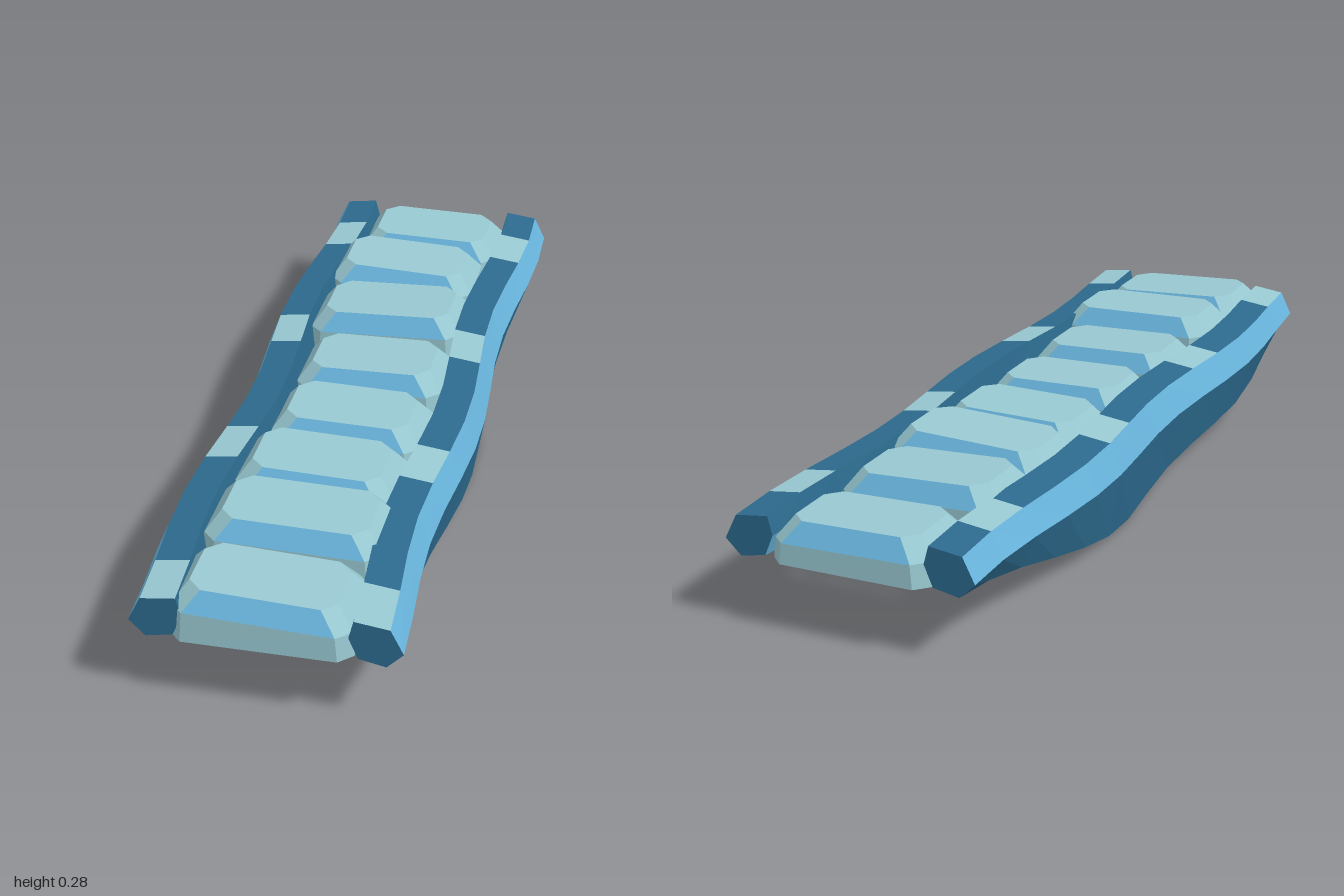
import * as THREE from 'three';

const flat = (name, color) => {
  const m = new THREE.MeshStandardMaterial({ color });
  m.name = name;
  m.flatShading = true;
  return m;
};

// Lofts closed rings into a faceted solid; colourOf(ring, side) picks a material index.
function loft(rings, colourOf, startColour, endColour, flip) {
  const buckets = [[], [], []];
  const tri = (c, a, b, d) => {
    for (const p of flip ? [a, d, b] : [a, b, d]) buckets[c].push(...p);
  };
  const n = rings[0].length;
  for (let i = 0; i < rings.length - 1; i++) {
    for (let k = 0; k < n; k++) {
      const j = (k + 1) % n, c = colourOf(i, k);
      tri(c, rings[i][k], rings[i][j], rings[i + 1][j]);
      tri(c, rings[i][k], rings[i + 1][j], rings[i + 1][k]);
    }
  }
  const first = rings[0], last = rings[rings.length - 1];
  for (let k = 1; k < n - 1; k++) {
    tri(startColour, first[0], first[k + 1], first[k]);
    tri(endColour, last[0], last[k], last[k + 1]);
  }
  const geo = new THREE.BufferGeometry();
  geo.setAttribute('position', new THREE.Float32BufferAttribute(buckets.flat(), 3));
  let start = 0;
  buckets.forEach((b, c) => {
    if (b.length) geo.addGroup(start, b.length / 3, c);
    start += b.length / 3;
  });
  geo.computeVertexNormals();
  return geo;
}

const DARK = 0, MID = 1, PALE = 2;

// Keel height along the rail, as [z, y]
const KEEL = [[-1, 0.157], [-0.85, 0.135], [-0.7, 0.107], [-0.5, 0.062], [-0.3, 0.02], [-0.13, 0.003],
  [0, 0.013], [0.2, 0.037], [0.4, 0.054], [0.6, 0.068], [0.8, 0.1], [1, 0.157]];
function keelY(z) {
  let i = 0;
  while (i < KEEL.length - 2 && KEEL[i + 1][0] < z) i++;
  const [a, b] = [KEEL[i], KEEL[i + 1]];
  return a[1] + (b[1] - a[1]) * (z - a[0]) / (b[0] - a[0]);
}

// Six-sided rail that sways sideways and deepens towards the middle
function railGeometry(side) {
  const rings = [], segments = 14;
  for (let i = 0; i <= segments; i++) {
    const z = -0.987 + 1.974 * i / segments;
    const d = 0.157 - keelY(z);
    const sway = 0.014 * Math.cos(2 * Math.PI * (z - 0.09) / 0.95);
    const section = [
      [0.187, 0.256], [0.263, 0.246], [0.291, 0.19 - 0.12 * d],
      [0.255 + 0.06 * d, 0.157 - d], [0.196 - 0.05 * d, 0.168 - 0.77 * d], [0.176 - 0.04 * d, 0.215 - 0.45 * d],
    ];
    rings.push(section.map(([x, y]) => [side * x + sway, y, z]));
  }
  const colour = (i, k) => (k % 3 === 0 ? (i % 4 === 1 ? PALE : DARK) : k % 3 === 1 ? MID : DARK);
  return loft(rings, colour, DARK, DARK, side > 0);
}

// Octagonal slab with bevelled top and underside; the top leans sideways
function slabGeometry([x0, x1, top, tilt], z) {
  const cx = (x0 + x1) / 2, hw = (x1 - x0) / 2, hl = 0.119;
  const ring = (inX, inZ, cut, y, lean) => {
    const a = hw - inX, b = hl - inZ;
    return [[a, b - cut], [a, cut - b], [a - cut, -b], [cut - a, -b],
      [-a, cut - b], [-a, b - cut], [cut - a, b], [a - cut, b]]
      .map(([x, w]) => [cx + x, y + lean * x, z + w]);
  };
  const rings = [
    ring(0.035, 0.025, 0.03, 0.145, 0),
    ring(0, 0, 0.03, 0.158, 0),
    ring(0.005, 0.002, 0.03, top - 0.045, tilt),
    ring(0.038, 0.03, 0.032, top, tilt),
  ];
  // side 2 faces back and side 6 faces front
  const colour = (i, k) => (i === 0 ? DARK : i === 2 && k % 4 === 2 ? MID : PALE);
  return loft(rings, colour, DARK, PALE, false);
}

export function createModel() {
  const model = new THREE.Group();
  model.name = 'plankBridge';
  const materials = [flat('deepBlue', 0x2c6a8e), flat('skyBlue', 0x69b5dd), flat('paleTeal', 0x98c8d1)];

  for (const side of [1, -1]) {
    const rail = new THREE.Mesh(railGeometry(side), materials);
    rail.name = side > 0 ? 'leftRail' : 'rightRail';
    model.add(rail);
  }

  // Slabs from back to front: left edge, right edge, top height, sideways lean
  const slabs = [
    [-0.175, 0.195, 0.253, -0.02], [-0.205, 0.175, 0.274, -0.04], [-0.2, 0.19, 0.273, 0.04], [-0.177, 0.19, 0.25, 0.02],
    [-0.178, 0.187, 0.248, -0.02], [-0.195, 0.178, 0.26, -0.03], [-0.195, 0.205, 0.284, -0.02], [-0.195, 0.198, 0.267, -0.045],
  ];
  slabs.forEach((slab, i) => {
    const mesh = new THREE.Mesh(slabGeometry(slab, -0.88 + i * 1.76 / 7), materials);
    mesh.name = `slab${i + 1}`;
    model.add(mesh);
  });
  return model;
}
